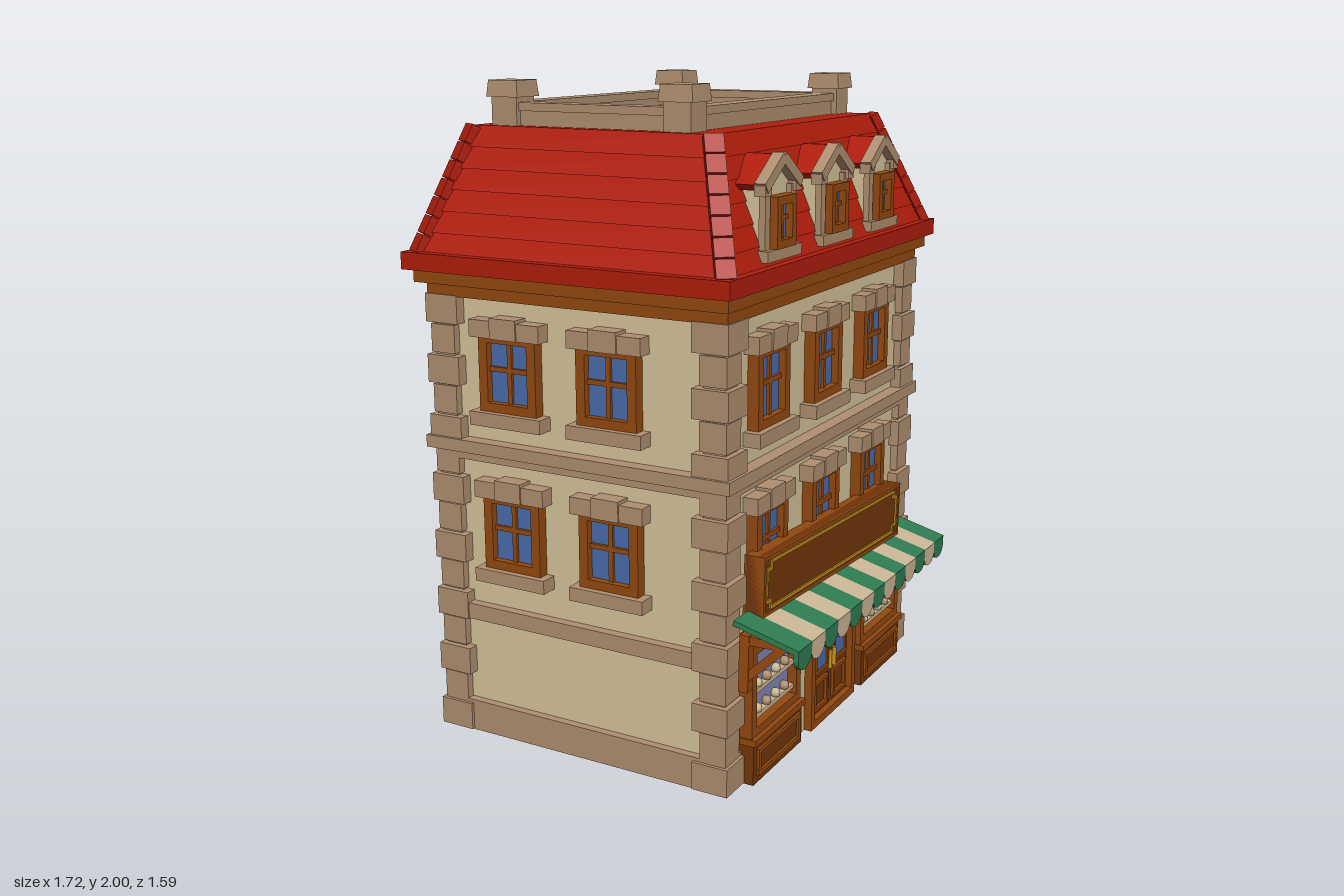
import * as THREE from 'three';

const mat = (name, color) => {
  const m = new THREE.MeshStandardMaterial({ color });
  m.name = name;
  return m;
};

export function createModel() {
  const cream = mat('plaster', 0xd6c39b), stone = mat('stone', 0xb08f70), red = mat('roofTile', 0xb01d0c);
  const wood = mat('wood', 0x94490f), darkWood = mat('darkWood', 0x733508), glass = mat('glass', 0x4a6cab);
  const shopGlass = mat('shopGlass', 0x8087b4), green = mat('awningGreen', 0x2f7d52);
  const canvas = mat('awningCream', 0xcdb896), gold = mat('gold', 0xc9951c);

  const house = new THREE.Group();
  const add = (parent, name, geo, m, x = 0, y = 0, z = 0) => {
    const mesh = new THREE.Mesh(geo, m);
    mesh.name = name;
    mesh.position.set(x, y, z);
    parent.add(mesh);
    return mesh;
  };
  const box = (parent, name, m, w, h, d, x, y, z) => add(parent, name, new THREE.BoxGeometry(w, h, d), m, x, y, z);
  const group = (parent, name, x = 0, y = 0, z = 0) => {
    const g = new THREE.Group();
    g.name = name;
    g.position.set(x, y, z);
    parent.add(g);
    return g;
  };
  // horizontal slab given by half sizes and its y range
  const slab = (name, m, hw, hd, y0, y1) => box(house, name, m, hw * 2, y1 - y0, hd * 2, 0, (y0 + y1) / 2, 0);
  // box whose top has its own size
  const taper = (w0, d0, w1, d1, h) => {
    const g = new THREE.BoxGeometry(1, h, 1), p = g.attributes.position;
    for (let i = 0; i < p.count; i++) {
      const top = p.getY(i) > 0;
      p.setX(i, p.getX(i) * (top ? w1 : w0));
      p.setZ(i, p.getZ(i) * (top ? d1 : d0));
    }
    g.computeVertexNormals();
    return g;
  };
  // four bars around an opening
  const ring = (parent, name, m, w, h, t, d, x, y, z) => {
    for (const s of [-1, 1]) {
      box(parent, name, m, t, h, d, x + s * (w - t) / 2, y, z);
      box(parent, name, m, w - 2 * t, t, d, x, y + s * (h - t) / 2, z);
    }
  };

  // walls and horizontal bands
  slab('walls', cream, 0.645, 0.475, 0.02, 1.42);
  slab('base', stone, 0.67, 0.5, 0, 0.1);
  slab('lowerBand', stone, 0.675, 0.505, 0.375, 0.425);
  slab('middleBand', stone, 0.67, 0.5, 0.885, 0.915);
  slab('middleBandCap', stone, 0.69, 0.52, 0.912, 0.95);
  slab('corniceLower', wood, 0.675, 0.505, 1.38, 1.425);
  slab('corniceUpper', wood, 0.71, 0.525, 1.42, 1.465);

  // corner stones
  for (const sx of [-1, 1]) for (const sz of [-1, 1]) {
    box(house, 'cornerPost', stone, 0.07, 1.38, 0.07, sx * 0.627, 0.69, sz * 0.457);
    for (let i = 0; i < 15; i++) {
      const a = i % 2 ? 0.085 : 0.115, o = i % 2 ? 0.67 : 0.68;
      box(house, 'cornerStone', stone, a, 0.086, a, sx * (o - a / 2), 0.046 + i * 0.0925, sz * (o - 0.17 - a / 2));
    }
  }

  // windows
  const casement = (parent, w, h, t) => {
    box(parent, 'windowGlass', glass, w - t, h - t, 0.01, 0, 0, 0.008);
    ring(parent, 'windowFrame', wood, w, h, t, 0.045, 0, 0, 0.013);
    box(parent, 'windowBar', wood, t * 0.5, h - 2 * t, 0.024, 0, 0, 0.01);
    box(parent, 'windowBar', wood, w - 2 * t, t * 0.5, 0.024, 0, 0.01, 0.01);
  };
  const windowAt = (wall, x, y) => {
    const g = group(wall, 'window', x, y, 0);
    casement(g, 0.2, 0.24, 0.03);
    box(g, 'windowSill', stone, 0.25, 0.042, 0.07, 0, -0.138, 0.02);
    for (const s of [-1, 1]) box(g, 'lintelStone', stone, 0.078, 0.052, 0.06, s * 0.084, 0.132, 0.018);
    box(g, 'lintelKeystone', stone, 0.092, 0.062, 0.07, 0, 0.137, 0.018);
  };
  const walls = [ // name, x, z, turn, window offsets, lower row, upper row
    ['frontWindows', 0, 0.475, 0, [-0.4, -0.03, 0.34], 0.7, 1.165],
    ['backWindows', 0, -0.475, Math.PI, [-0.37, 0, 0.37], 0.665, 1.165],
    ['leftWindows', 0.645, 0, Math.PI / 2, [-0.17, 0.19], 0.66, 1.165],
    ['rightWindows', -0.645, 0, -Math.PI / 2, [-0.22, 0.12], 0.675, 1.165],
  ];
  for (const [name, x, z, turn, xs, y0, y1] of walls) {
    const g = group(house, name, x, 0, z);
    g.rotation.y = turn;
    for (const wx of xs) for (const y of [y0, y1]) windowAt(g, wx, y);
  }

  // mansard roof in overlapping courses
  slab('eave', red, 0.74, 0.545, 1.46, 1.512);
  const halfW = t => 0.705 - 0.165 * t, halfD = t => 0.515 - 0.115 * t, roofY = t => 1.505 + 0.365 * t;
  const rows = 6;
  for (let i = 0; i < rows; i++) {
    const a = i / rows, b = (i + 1) / rows, lip = 0.008;
    add(house, 'roofCourse', taper(2 * (halfW(a) + lip), 2 * (halfD(a) + lip), 2 * halfW(b), 2 * halfD(b), roofY(b) - roofY(a)),
      red, 0, (roofY(a) + roofY(b)) / 2, -0.015 * b);
  }
  for (const sx of [-1, 1]) for (const sz of [-1, 1]) for (let i = 0; i < 7; i++) {
    const at = t => new THREE.Vector3(sx * halfW(t), roofY(t), sz * halfD(t) - 0.015 * t);
    const p = at((i + 0.5) / 7);
    const cap = box(house, 'hipTile', red, 0.055, 0.028, 0.055, p.x, p.y, p.z);
    cap.lookAt(at((i + 1.3) / 7));
  }

  // roof terrace with parapet
  const terrace = group(house, 'terrace', 0, 1.865, -0.025);
  box(terrace, 'terraceFloor', stone, 0.95, 0.024, 0.57, 0, 0.012, 0);
  for (const s of [-1, 1]) {
    box(terrace, 'parapet', stone, 0.96, 0.05, 0.05, 0, 0.025, s * 0.29);
    box(terrace, 'parapetCap', stone, 0.96, 0.024, 0.066, 0, 0.06, s * 0.29);
    box(terrace, 'parapet', stone, 0.05, 0.05, 0.58, s * 0.48, 0.025, 0);
    box(terrace, 'parapetCap', stone, 0.066, 0.024, 0.58, s * 0.48, 0.06, 0);
    for (const q of [-1, 1]) {
      box(terrace, 'cornerPillar', stone, 0.088, 0.09, 0.088, s * 0.48, 0.045, q * 0.29);
      add(terrace, 'pillarCap', taper(0.11, 0.11, 0.1, 0.1, 0.048), stone, s * 0.48, 0.111, q * 0.29);
    }
  }

  // dormers
  const gable = new THREE.Shape([[-0.09, 0], [0.09, 0], [0.09, 0.2], [0, 0.262], [-0.09, 0.2]].map(p => new THREE.Vector2(...p)));
  for (const x of [-0.385, -0.022, 0.335]) {
    const g = group(house, 'dormer', x, 1.53, 0.36);
    add(g, 'dormerBody', new THREE.ExtrudeGeometry(gable, { depth: 0.14, bevelEnabled: false }), cream);
    for (const s of [-1, 1]) {
      box(g, 'dormerRoof', red, 0.134, 0.02, 0.165, s * 0.055, 0.236, 0.06).rotation.z = -s * 0.6;
      box(g, 'dormerPediment', stone, 0.136, 0.032, 0.035, s * 0.055, 0.236, 0.15).rotation.z = -s * 0.6;
      box(g, 'dormerPost', stone, 0.03, 0.19, 0.02, s * 0.08, 0.1, 0.145);
      box(g, 'dormerCorbel', stone, 0.04, 0.03, 0.035, s * 0.095, 0.19, 0.147);
    }
    box(g, 'dormerSill', stone, 0.215, 0.032, 0.06, 0, 0.01, 0.14);
    casement(group(g, 'dormerWindow', 0, 0.098, 0.14), 0.118, 0.145, 0.024);
  }

  // shop windows
  for (const x of [-0.41, 0.378]) {
    const g = group(house, 'shopWindow', x, 0, 0.5);
    box(g, 'shopPlinth', darkWood, 0.325, 0.13, 0.07, 0, 0.065, 0.005);
    ring(g, 'plinthPanel', wood, 0.28, 0.085, 0.014, 0.012, 0, 0.065, 0.042);
    box(g, 'plinthLedge', wood, 0.335, 0.02, 0.09, 0, 0.135, 0.005);
    box(g, 'shopPane', shopGlass, 0.28, 0.27, 0.01, 0, 0.28, 0.0);
    ring(g, 'shopFrame', wood, 0.325, 0.29, 0.03, 0.06, 0, 0.285, 0.005);
    for (const y of [0.195, 0.275]) {
      box(g, 'shelf', canvas, 0.265, 0.014, 0.025, 0, y, 0.012);
      for (let i = 0; i < 4; i++)
        add(g, 'pastry', new THREE.SphereGeometry(0.016, 8, 6), i % 2 ? stone : canvas, -0.09 + i * 0.06, y + 0.016, 0.014);
    }
  }
  for (const x of [-0.205, 0.193]) box(house, 'shopPillar', cream, 0.06, 0.42, 0.05, x, 0.21, 0.49);
  box(house, 'shopBeam', darkWood, 1.13, 0.04, 0.07, -0.015, 0.43, 0.5);

  // double door
  const door = group(house, 'doubleDoor', -0.006, 0, 0.5);
  ring(door, 'doorFrame', wood, 0.335, 0.43, 0.025, 0.07, 0, 0.215, 0.005);
  for (const s of [-1, 1]) {
    const leaf = group(door, 'doorLeaf', s * 0.071, 0, 0);
    box(leaf, 'doorPanel', darkWood, 0.139, 0.39, 0.04, 0, 0.21, 0);
    box(leaf, 'doorGlass', glass, 0.085, 0.19, 0.008, 0, 0.27, 0.021);
    ring(leaf, 'doorGlassFrame', wood, 0.1, 0.21, 0.012, 0.016, 0, 0.27, 0.022);
    ring(leaf, 'doorLowerPanel', wood, 0.1, 0.1, 0.012, 0.014, 0, 0.09, 0.022);
    add(leaf, 'doorHandle', new THREE.CylinderGeometry(0.007, 0.007, 0.06, 8), gold, -s * 0.055, 0.185, 0.032);
  }

  // striped awning, hanging slightly askew
  const awning = group(house, 'awning', -0.01, 0.445, 0.5);
  awning.rotation.set(0, 0.04, -0.045);
  const n = 13, w = 1.28 / n, run = 0.2, drop = 0.055;
  const flap = new THREE.Shape();
  flap.moveTo(w / 2, 0);
  flap.lineTo(-w / 2, 0);
  flap.lineTo(-w / 2, -0.03);
  flap.absellipse(0, -0.03, w / 2, 0.034, Math.PI, 2 * Math.PI, false);
  const flapGeo = new THREE.ExtrudeGeometry(flap, { depth: 0.014, bevelEnabled: false, curveSegments: 8 });
  for (let i = 0; i < n; i++) {
    const x = (i - (n - 1) / 2) * w, m = i % 2 ? canvas : green;
    box(awning, 'awningStripe', m, w, 0.016, Math.hypot(run, drop), x, drop / 2, 0.085).rotation.x = Math.atan2(drop, run);
    add(awning, 'awningFlap', flapGeo, m, x, 0.006, 0.172);
  }
  for (const s of [-1, 1]) {
    box(awning, 'bracketPost', wood, 0.035, 0.17, 0.03, s * 0.6, -0.07, 0.01);
    box(awning, 'bracketArm', wood, 0.03, 0.025, 0.17, s * 0.6, 0.0, 0.085);
    box(awning, 'bracketBrace', wood, 0.028, 0.17, 0.025, s * 0.6, -0.06, 0.07).rotation.x = 0.8;
  }

  // sign board with gold trim
  const sign = group(house, 'signBoard', -0.04, 0.58, 0.525);
  sign.rotation.z = -0.052;
  box(sign, 'board', darkWood, 1.02, 0.18, 0.055, 0, 0, 0);
  ring(sign, 'boardEdge', wood, 1.02, 0.18, 0.012, 0.066, 0, 0, 0);
  for (const s of [-1, 1]) {
    box(sign, 'goldTrim', gold, 0.92, 0.009, 0.008, 0, s * 0.07, 0.029);
    box(sign, 'goldTrim', gold, 0.009, 0.1, 0.008, s * 0.487, 0, 0.029);
    for (const q of [-1, 1]) {
      box(sign, 'goldCorner', gold, 0.009, 0.026, 0.008, s * 0.46, q * 0.06, 0.029);
      box(sign, 'goldCorner', gold, 0.034, 0.009, 0.008, s * 0.474, q * 0.048, 0.029);
    }
  }

  // the house stands turned on its plot
  house.name = 'house';
  house.rotation.y = 0.28;
  house.position.z = -0.062;
  const model = new THREE.Group();
  model.name = 'cornerShop';
  model.add(house);
  return model;
}
